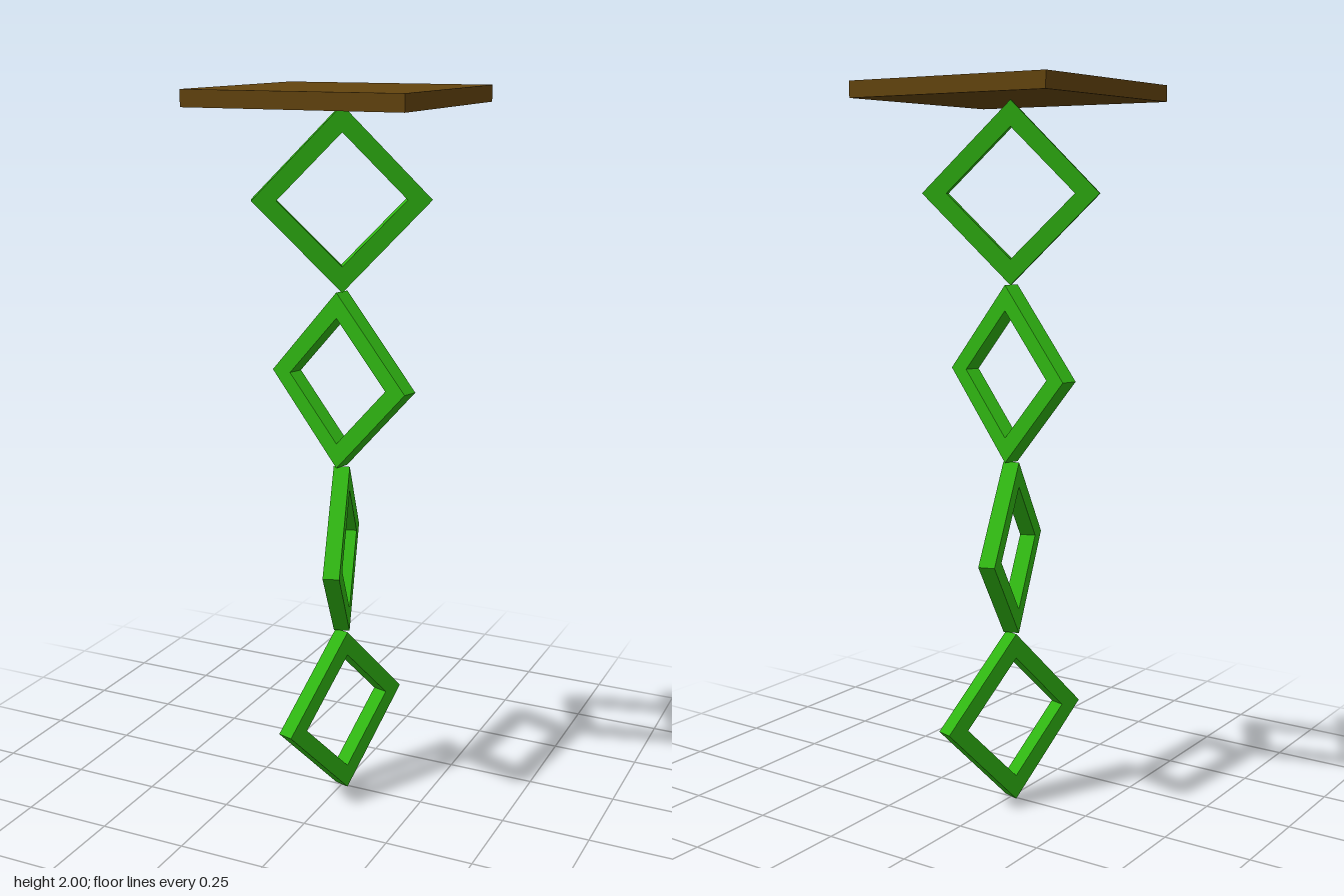
import * as THREE from 'three';

const PLATE_SIZE = 0.608;
const PLATE_THICKNESS = 0.044;
const LINK_COUNT = 4;
const LINK_HEIGHT = (2 - PLATE_THICKNESS) / LINK_COUNT;
const LINK_DEPTH = 0.045;
// Twist of each link about the vertical axis, top to bottom, in degrees
const LINK_TWISTS = [28, -16.5, -72, 73.5];

// Four corners of a diamond with half width w and half height h
function diamond(PathType, w, h) {
  const path = new PathType();
  path.moveTo(0, -h);
  path.lineTo(w, 0);
  path.lineTo(0, h);
  path.lineTo(-w, 0);
  path.closePath();
  return path;
}

// Flat diamond frame centred on its own origin
function linkGeometry() {
  const shape = diamond(THREE.Shape, 0.239, LINK_HEIGHT / 2);
  shape.holes.push(diamond(THREE.Path, 0.173, 0.175));
  const geometry = new THREE.ExtrudeGeometry(shape, { depth: LINK_DEPTH, bevelEnabled: false });
  return geometry.translate(0, 0, -LINK_DEPTH / 2);
}

export function createModel() {
  const model = new THREE.Group();
  model.name = 'hangingChain';
  const brown = new THREE.MeshStandardMaterial({ color: 0x63440e });
  brown.name = 'brown wood';
  const green = new THREE.MeshStandardMaterial({ color: 0x2fb512 });
  green.name = 'green';

  // Square ceiling plate
  const plate = new THREE.Mesh(
    new THREE.BoxGeometry(PLATE_SIZE, PLATE_THICKNESS, PLATE_SIZE), brown);
  plate.name = 'ceilingPlate';
  plate.position.y = 2 - PLATE_THICKNESS / 2;
  model.add(plate);

  // Twisted diamond links, hanging tip to tip
  const geometry = linkGeometry();
  LINK_TWISTS.forEach((degrees, i) => {
    const link = new THREE.Mesh(geometry, green);
    link.name = `diamondLink${i + 1}`;
    link.position.y = LINK_HEIGHT * (LINK_COUNT - i - 0.5);
    link.rotation.y = THREE.MathUtils.degToRad(degrees);
    model.add(link);
  });

  return model;
}
